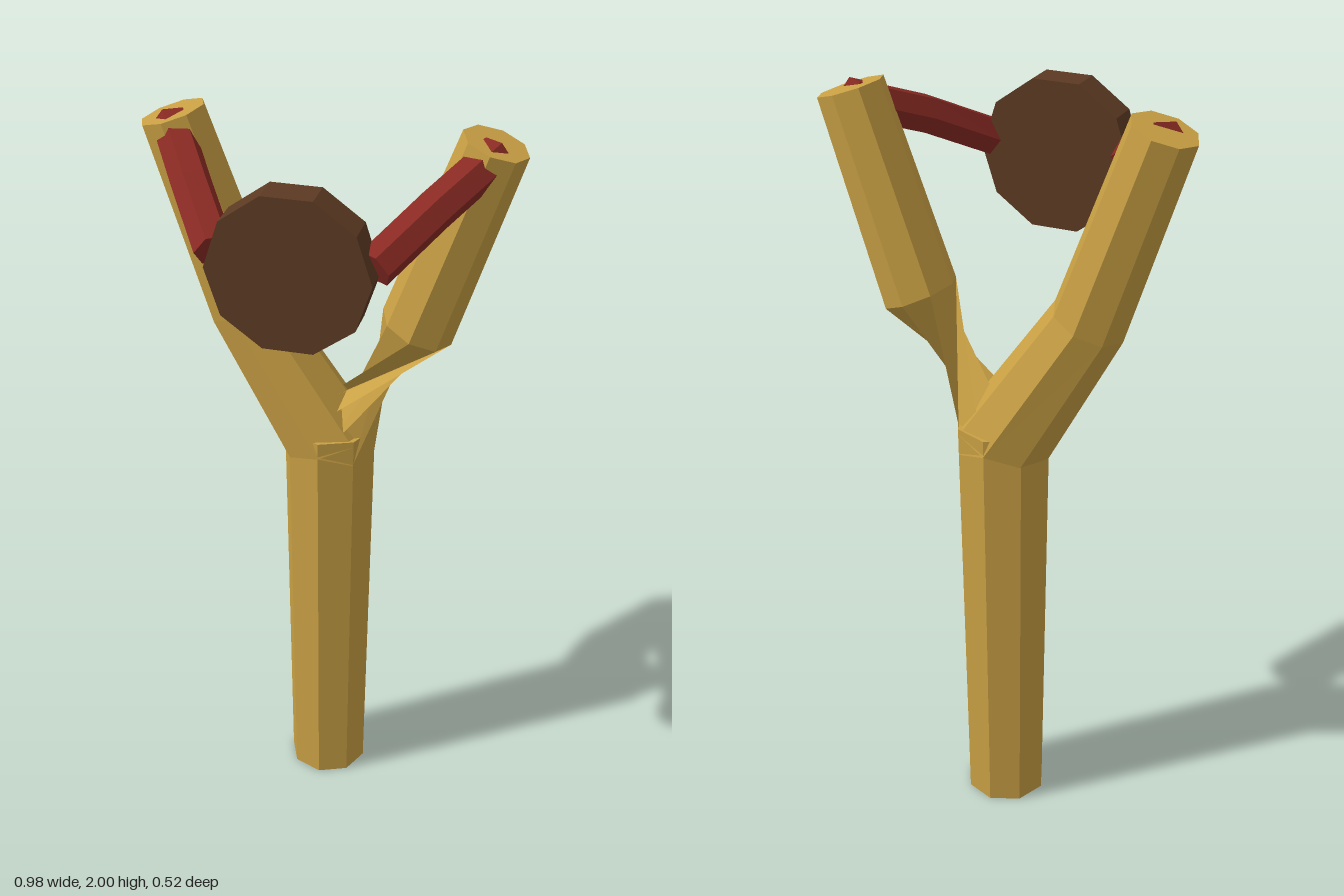
import * as THREE from 'three';

const Z = -0.137; // depth of the wooden fork

// Ring of n points round c, in the plane of the axes u and v
function ring(c, u, v, r, n, turn = 0) {
  return Array.from({ length: n }, (_, i) => {
    const a = (i / n) * Math.PI * 2 + turn;
    return new THREE.Vector3(...c).addScaledVector(u, r * Math.cos(a)).addScaledVector(v, r * Math.sin(a));
  });
}

// Skin a row of rings and close both ends
function loft(rings) {
  const n = rings[0].length, pos = [];
  const tri = (...pts) => pts.forEach((p) => pos.push(p.x, p.y, p.z));
  for (let k = 0; k < rings.length - 1; k++) {
    for (let i = 0; i < n; i++) {
      const j = (i + 1) % n, lo = rings[k], hi = rings[k + 1];
      tri(lo[i], lo[j], hi[j]);
      tri(lo[i], hi[j], hi[i]);
    }
  }
  const first = rings[0], last = rings[rings.length - 1];
  for (let i = 1; i < n - 1; i++) {
    tri(first[0], first[i + 1], first[i]);
    tri(last[0], last[i], last[i + 1]);
  }
  const g = new THREE.BufferGeometry();
  g.setAttribute('position', new THREE.Float32BufferAttribute(pos, 3));
  g.computeVertexNormals();
  return g;
}

// Octagonal ring of the fork; slope tilts it in the front plane
const back = new THREE.Vector3(0, 0, -1);
function forkRing(x, y, halfWidth, halfRise, r, turn = 0) {
  const u = new THREE.Vector3(halfWidth, halfRise, 0).divideScalar(r);
  return ring([x, y, Z], u, back, r, 8, turn);
}

export function createModel() {
  const group = new THREE.Group();
  const material = (name, color, side = THREE.FrontSide) => {
    const m = new THREE.MeshStandardMaterial({ color, side, flatShading: true });
    m.name = name;
    return m;
  };
  const wood = material('wood', 0xc9a044, THREE.DoubleSide);
  const rubber = material('red rubber', 0x8a2a23);
  const leather = material('brown leather', 0x5c3a22);
  const add = (name, geometry, mat) => {
    const mesh = new THREE.Mesh(geometry, mat);
    mesh.name = name;
    group.add(mesh);
  };

  // Tapered handle
  add('handle', loft([
    forkRing(0, 0, 0.108, 0, 0.108),
    forkRing(0, 1.145, 0.125, 0, 0.125),
  ]), wood);

  // Plain prong
  add('rightProng', loft([
    forkRing(0, 1.1, 0.122, 0.04, 0.126),
    forkRing(-0.23, 1.468, 0.09, 0.04, 0.1),
    forkRing(-0.407, 1.973, 0.082, 0.027, 0.088),
  ]), wood);

  // Prong with a twisted root
  add('leftProng', loft([
    forkRing(0, 1.1, 0.122, -0.04, 0.126, -0.75 * Math.PI),
    forkRing(0.23, 1.462, 0.09, -0.04, 0.1),
    forkRing(0.407, 1.973, 0.082, -0.027, 0.088),
  ]), wood);

  // Rubber bands from the prong tips to the pouch
  for (const s of [-1, 1]) {
    const path = [[0.41, 1.945, -0.137], [0.3, 1.867, 0.045], [0.193, 1.777, 0.205]]
      .map(([x, y, z]) => new THREE.Vector3(s * x, y, z));
    const rings = path.map((p, i) => {
      const dir = path[Math.min(i + 1, 2)].clone().sub(path[Math.max(i - 1, 0)]).normalize();
      const u = new THREE.Vector3(0, 1, 0).cross(dir).normalize();
      const v = dir.clone().cross(u);
      return ring(p.toArray(), u, v, 0.051, 6);
    });
    add(s < 0 ? 'rightBand' : 'leftBand', loft(rings), rubber);
  }

  // Ten-sided pouch disc
  const pouch = new THREE.CylinderGeometry(0.204, 0.204, 0.087, 10);
  pouch.rotateY(Math.PI / 2).rotateX(Math.PI / 2).translate(0, 1.757, 0.218);
  add('pouch', pouch, leather);

  return group;
}
